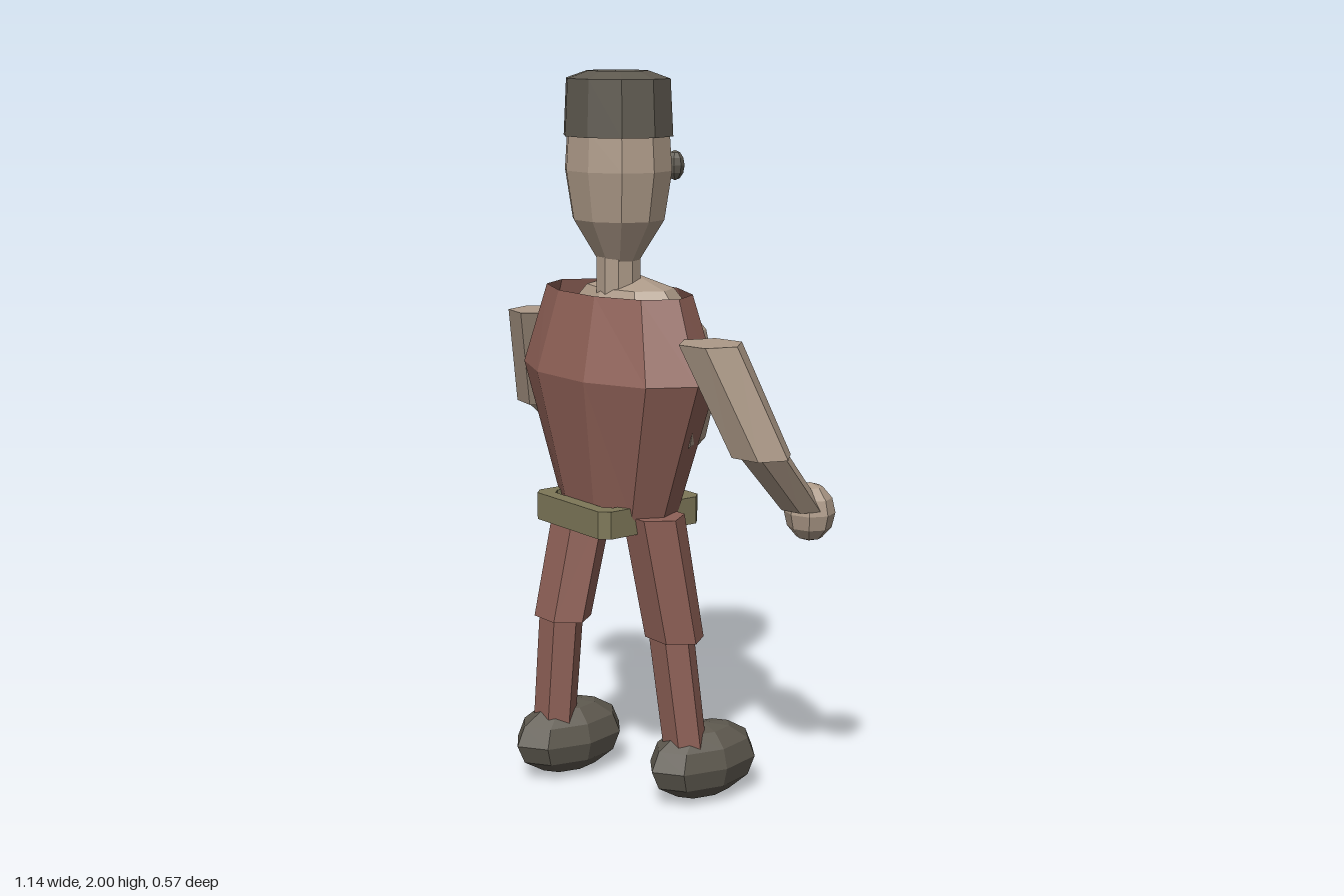
import * as THREE from 'three';

const mat = (name, color) => new THREE.MeshStandardMaterial({ name, color, flatShading: true, side: THREE.DoubleSide });

export function createModel() {
  const model = new THREE.Group();
  const skin = mat('skin', 0xad9a88);
  const cloth = mat('redCloth', 0x8f6157);
  const dark = mat('darkFelt', 0x5e594f);
  const olive = mat('oliveBelt', 0x7d7758);

  const add = (name, geo, material) => {
    const mesh = new THREE.Mesh(geo, material);
    mesh.name = name;
    model.add(mesh);
    return mesh;
  };

  // low-poly ellipsoid
  const ball = (name, material, r, p) =>
    add(name, new THREE.SphereGeometry(1, 8, 6).scale(...r).translate(...p), material);

  // ten-sided lathe squashed along z, centred on the body axis
  const turned = (name, material, pts, depth) =>
    add(name, new THREE.LatheGeometry(pts.map(p => new THREE.Vector2(...p)), 10, Math.PI / 2)
      .scale(1, 1, depth).translate(0, 0, 0.07), material);

  // six-sided limb with level ends, leaning from centre a (top) to centre b (bottom)
  const limb = (name, material, a, b, ra, rb, phase) => {
    const geo = new THREE.CylinderGeometry(1, 1, 1, 6, 1).rotateY(phase);
    const pos = geo.attributes.position;
    for (let i = 0; i < pos.count; i++) {
      const t = 0.5 - pos.getY(i);
      const mix = (u, v) => u + (v - u) * t;
      pos.setXYZ(i,
        mix(a[0], b[0]) + pos.getX(i) * mix(ra[0], rb[0]),
        mix(a[1], b[1]),
        mix(a[2], b[2]) + pos.getZ(i) * mix(ra[1], rb[1]));
    }
    geo.computeVertexNormals();
    return add(name, geo, material);
  };

  // head, hat and neck
  turned('head', skin, [[0, 1.495], [0.062, 1.5], [0.135, 1.61], [0.157, 1.74], [0.15, 1.84], [0.115, 1.9], [0, 1.925]], 0.9);
  turned('hat', dark, [[0.145, 1.83], [0.16, 1.83], [0.152, 1.98], [0.09, 2], [0.08, 1.89]], 0.9);
  turned('neck', skin, [[0.062, 1.38], [0.062, 1.52]], 1);

  // chest bulging through the open jacket
  ball('chest', skin, [0.3, 0.295, 0.19], [0, 1.17, 0.03]);

  // jacket: stacked ten-sided rings, each with its own depth
  const rings = [[0.001, 0.82, 0.001], [0.2, 0.82, 0.135], [0.342, 1.2, 0.205], [0.262, 1.42, 0.147]];
  const jacketGeo = new THREE.LatheGeometry(rings.map(r => new THREE.Vector2(r[0], r[1])), 10, Math.PI / 2);
  const jp = jacketGeo.attributes.position;
  for (let i = 0; i < jp.count; i++) {
    const [rx, , rz] = rings[i % rings.length];
    jp.setZ(i, 0.07 + jp.getZ(i) * rz / rx);
  }
  jacketGeo.computeVertexNormals();
  add('jacket', jacketGeo, cloth);

  // belt: bevelled rectangular band
  const outline = (w, d, c) => [[-w + c, -d], [w - c, -d], [w, -d + c], [w, d - c], [w - c, d], [-w + c, d], [-w, d - c], [-w, -d + c]]
    .map(p => new THREE.Vector2(...p));
  const band = new THREE.Shape(outline(0.165, 0.17, 0.025));
  band.holes.push(new THREE.Path(outline(0.13, 0.13, 0.02).reverse()));
  add('belt', new THREE.ExtrudeGeometry(band, { depth: 0.075, bevelEnabled: false })
    .rotateX(-Math.PI / 2).translate(0, 0.78, 0.075), olive);

  for (const s of [1, -1]) {
    const side = s > 0 ? 'left' : 'right';

    ball(side + 'Eye', dark, [0.026, 0.04, 0.026], [s * 0.075, 1.75, -0.064]);

    // arms
    const turn = s * 0.72;
    limb(side + 'UpperArm', skin, [s * 0.385, 1.32, 0.065], [s * 0.485, 1.03, -0.025], [0.088, 0.086], [0.088, 0.08], turn);
    limb(side + 'Forearm', skin, [s * 0.485, 1.04, -0.025], [s * 0.457, 0.86, -0.195], [0.074, 0.066], [0.062, 0.058], turn);
    ball(side + 'Hand', skin, [0.072, 0.08, 0.066], [s * 0.457, 0.848, -0.222]);

    // legs in mid stride
    const knee = s > 0 ? 0.012 : 0.138;
    const ankle = s > 0 ? -0.012 : 0.156;
    const foot = s > 0 ? -0.075 : 0.105;
    limb(side + 'Thigh', cloth, [s * 0.155, 0.825, 0.07], [s * 0.175, 0.475, knee], [0.096, 0.08], [0.094, 0.075], Math.PI / 6);
    limb(side + 'Shin', cloth, [s * 0.17, 0.49, knee + 0.008], [s * 0.195, 0.15, ankle], [0.072, 0.058], [0.07, 0.056], Math.PI / 6);
    ball(side + 'Shoe', dark, [0.106, 0.107, 0.18], [s * 0.195, 0.108, foot]);
  }
  return model;
}
